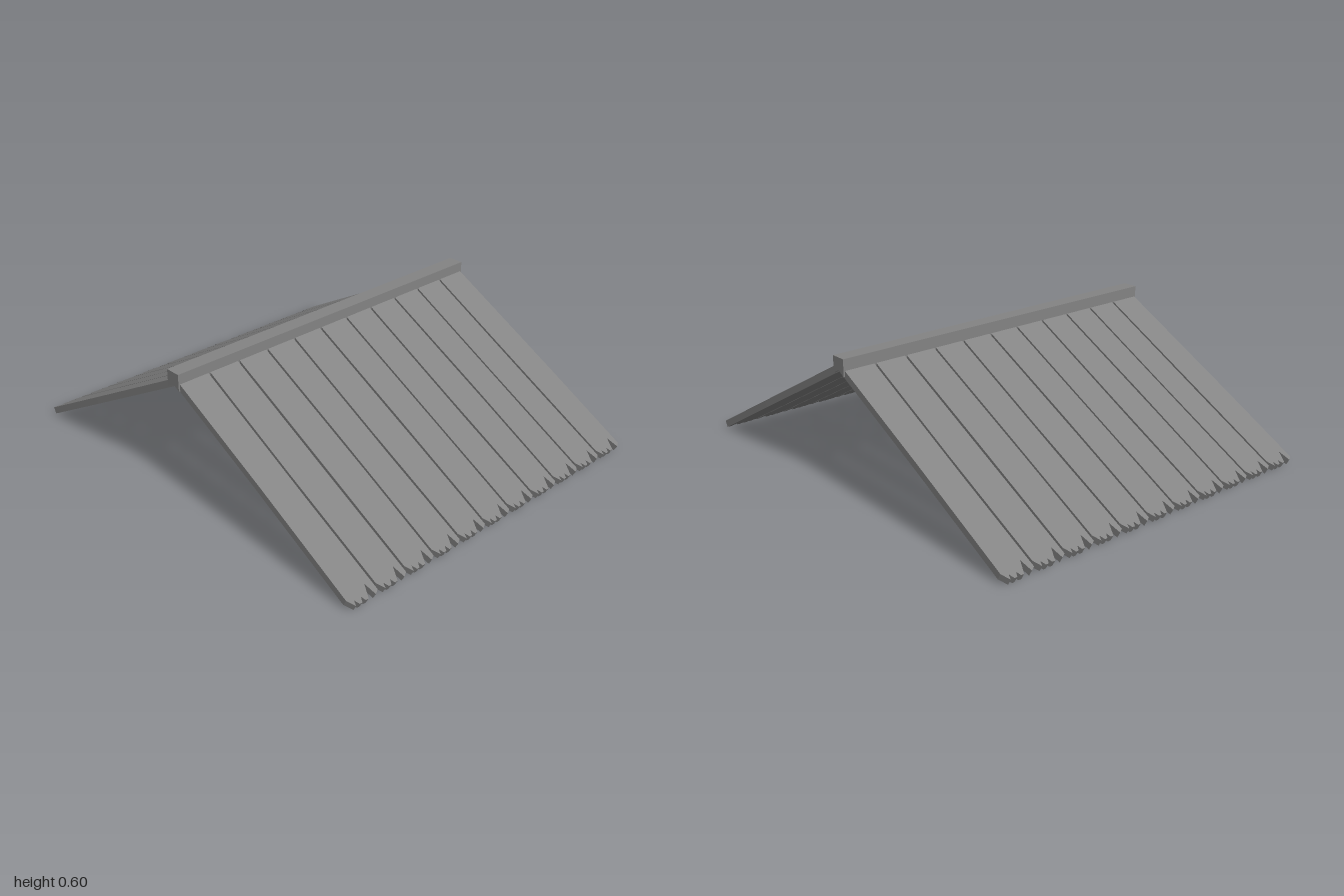
import * as THREE from 'three';

const COUNT = 11, PITCH = 0.1506, WIDTH = 0.141, THICK = 0.03;
const SLOPE = Math.atan2(0.5456, 1), LENGTH = 1 / Math.cos(SLOPE), APEX = 0.572;
const BEAM_LENGTH = 1.66;

// Splintered lower end of a plank: [fraction of width, distance short of the tip]
const SPLINTERS = [
  [0, 0.035], [0.15, 0], [0.2, 0.022], [0.28, 0], [0.37, 0], [0.44, 0.02],
  [0.5, 0], [0.6, 0], [0.77, 0.055], [0.86, 0], [1, 0.012],
];

// One plank lying along +y of its shape, with slightly uneven long edges
function plankGeometry(i) {
  const half = WIDTH / 2;
  const wobble = (k) => 0.003 * Math.sin(i * 2.3 + k * 1.9);
  const shape = new THREE.Shape();
  shape.moveTo(half, 0);
  shape.lineTo(-half, 0);
  shape.lineTo(-half + wobble(1), LENGTH * 0.5);
  SPLINTERS.forEach(([u, d]) => shape.lineTo((u - 0.5) * WIDTH, LENGTH - d));
  shape.lineTo(half + wobble(2), LENGTH * 0.6);
  return new THREE.ExtrudeGeometry(shape, { depth: THICK, bevelEnabled: false });
}

// Ridge beam section, notched underneath to sit over the planks
function beamGeometry() {
  const section = [[-0.035, 0.526], [0, 0.546], [0.035, 0.526], [0.035, 0.6], [-0.035, 0.6]];
  const shape = new THREE.Shape(section.map(([x, y]) => new THREE.Vector2(x, y)));
  const geometry = new THREE.ExtrudeGeometry(shape, { depth: BEAM_LENGTH, bevelEnabled: false });
  return geometry.translate(0, 0, -BEAM_LENGTH / 2).rotateY(Math.PI / 2);
}

export function createModel() {
  const material = new THREE.MeshStandardMaterial({ color: 0x848484, flatShading: true });
  const roof = new THREE.Group();
  roof.name = 'plankRoof';

  // Ridge beam
  const beam = new THREE.Mesh(beamGeometry(), material);
  beam.name = 'ridgeBeam';
  beam.position.z = -0.005;
  roof.add(beam);

  // Two slopes of planks, the back one turned half round
  ['frontSlope', 'backSlope'].forEach((name, side) => {
    const slope = new THREE.Group();
    slope.name = name;
    slope.rotation.y = side * Math.PI;
    for (let i = 0; i < COUNT; i++) {
      const plank = new THREE.Mesh(plankGeometry(i + side * COUNT), material);
      plank.name = 'plank';
      plank.position.set((i - (COUNT - 1) / 2) * PITCH, APEX, 0);
      plank.rotation.x = Math.PI / 2 + SLOPE;
      slope.add(plank);
    }
    roof.add(slope);
  });
  return roof;
}
